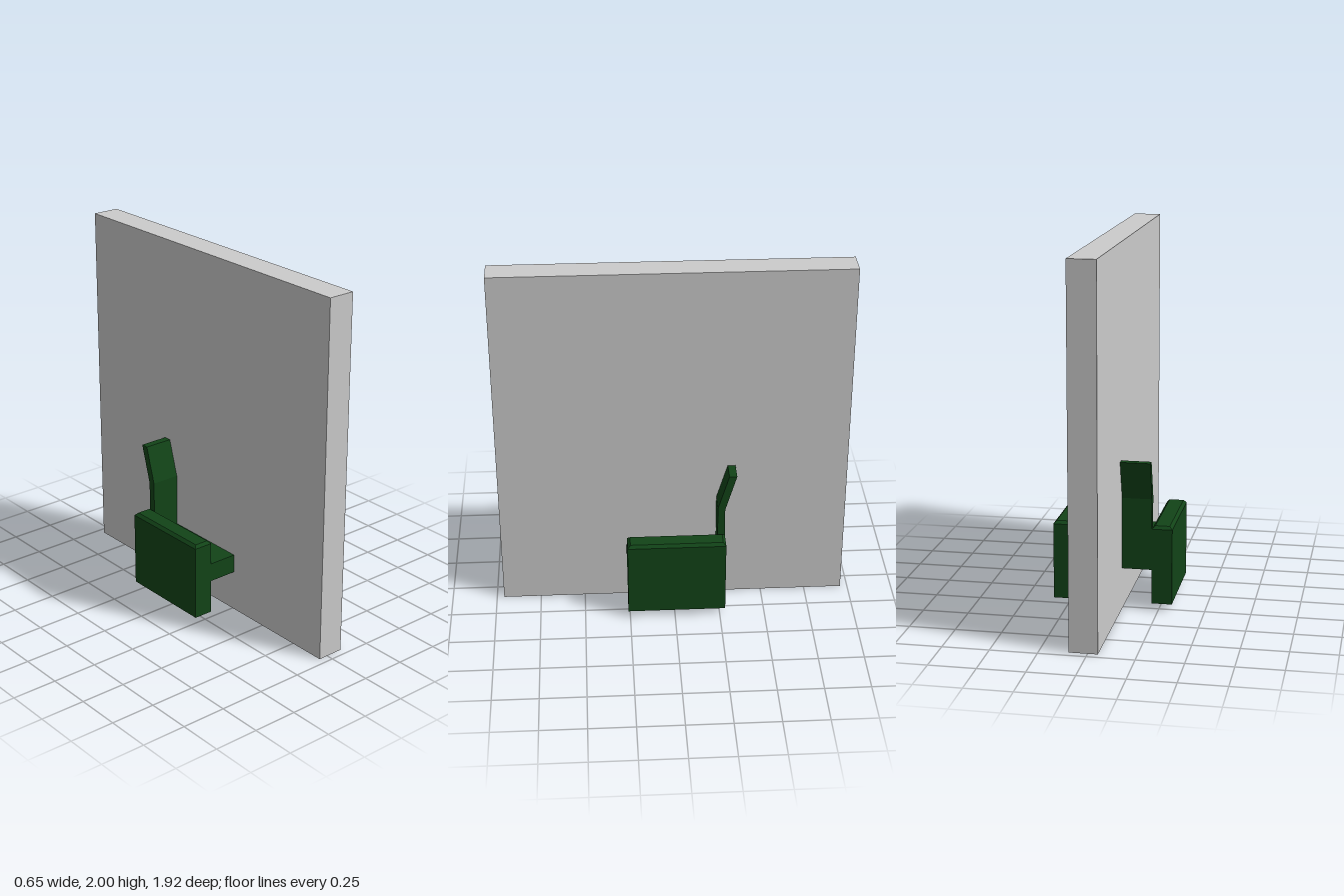
import * as THREE from 'three';

const grey = new THREE.MeshStandardMaterial({ color: 0xcccccc, flatShading: true });
const green = new THREE.MeshStandardMaterial({ color: 0x124418, flatShading: true });

function box(name, material, [x0, x1], [y0, y1], [z0, z1]) {
  const mesh = new THREE.Mesh(new THREE.BoxGeometry(x1 - x0, y1 - y0, z1 - z0), material);
  mesh.position.set((x0 + x1) / 2, (y0 + y1) / 2, (z0 + z1) / 2);
  mesh.name = name;
  return mesh;
}

// Box whose top edges are chamfered: the top ring is pulled in above the shoulder
function chamferedArm(name, side) {
  const w = 0.11, h = 0.435, d = 0.54, c = 0.016;
  const geometry = new THREE.BoxGeometry(w, h, d, 1, 2, 1);
  const p = geometry.attributes.position;
  for (let i = 0; i < p.count; i++) {
    const y = p.getY(i);
    if (y > h / 4) {
      p.setX(i, p.getX(i) - Math.sign(p.getX(i)) * c);
      p.setZ(i, p.getZ(i) - Math.sign(p.getZ(i)) * c);
    } else if (y > -h / 4) {
      p.setY(i, h / 2 - c);
    }
  }
  geometry.computeVertexNormals();
  const mesh = new THREE.Mesh(geometry, green);
  mesh.position.set(side * 0.27, 0.04 + h / 2, -0.01);
  mesh.name = name;
  return mesh;
}

// Side profile (z, y) extruded across the seat width
function backrest() {
  const profile = [[-0.24, 0.23], [-0.24, 0.635], [-0.3, 0.837], [-0.342, 0.837], [-0.28, 0.625], [-0.28, 0.23]];
  const shape = new THREE.Shape(profile.map(([z, y]) => new THREE.Vector2(-z, y)));
  const geometry = new THREE.ExtrudeGeometry(shape, { depth: 0.43, bevelEnabled: false });
  geometry.translate(0, 0, -0.215);
  geometry.rotateY(Math.PI / 2);
  const mesh = new THREE.Mesh(geometry, green);
  mesh.name = 'backrest';
  return mesh;
}

export function createModel() {
  const model = new THREE.Group();
  model.name = 'armchairWithPanel';

  // Tall upright slab passing through the chair, slightly off centre
  model.add(box('panel', grey, [-0.053, 0.097], [0, 2], [-0.96, 0.96]));

  // Armchair
  const chair = new THREE.Group();
  chair.name = 'armchair';
  chair.add(
    box('seat', green, [-0.215, 0.215], [0.23, 0.335], [-0.24, 0.26]),
    backrest(),
    chamferedArm('leftArm', 1),
    chamferedArm('rightArm', -1),
  );
  model.add(chair);
  return model;
}
